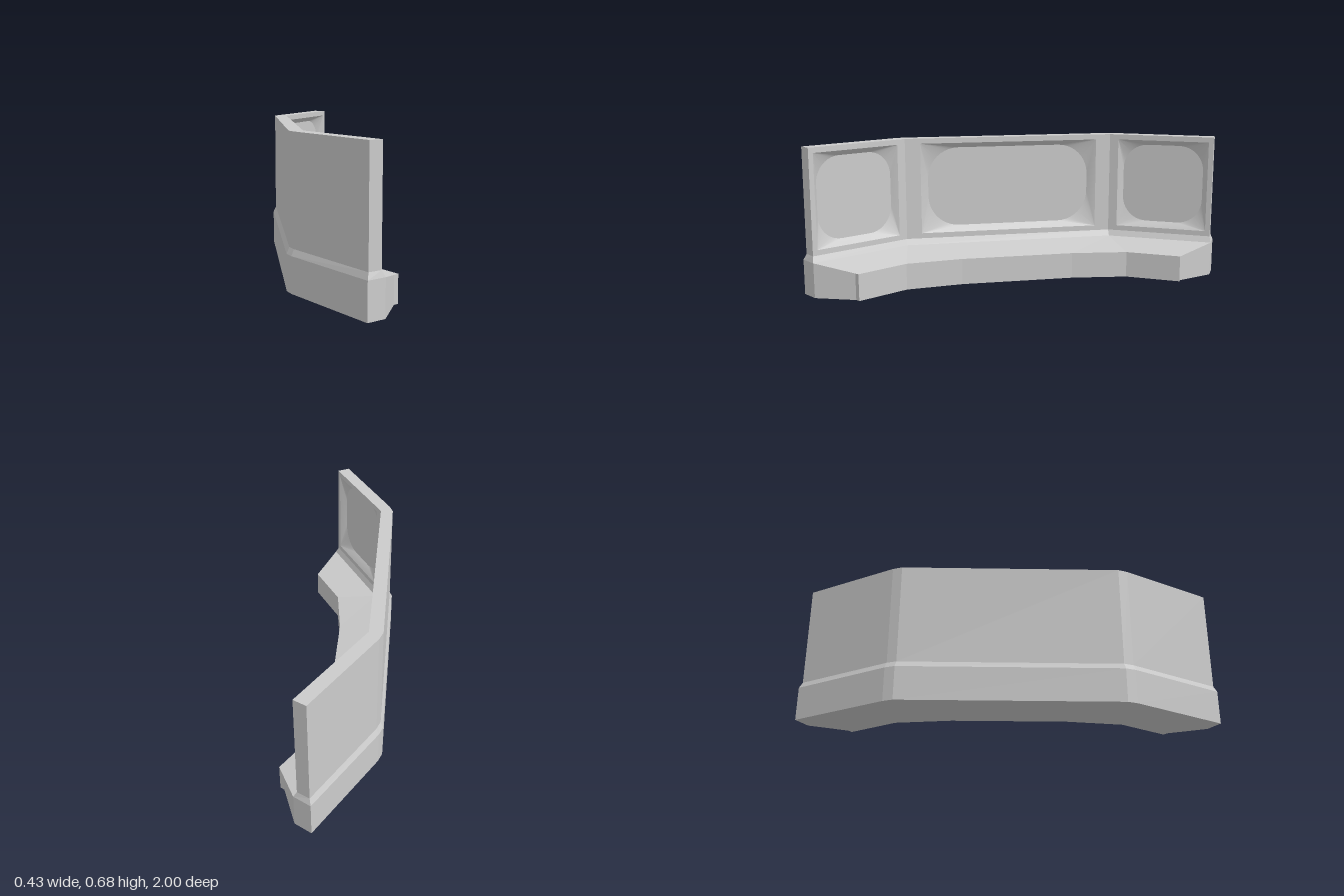
import * as THREE from 'three';
import { toCreasedNormals } from 'three/addons/utils/BufferGeometryUtils.js';

const BASE_TOP = 0.162, WALL_BOTTOM = 0.19, WALL_TOP = 0.68, LEDGE_TOP = 0.124;

// Half plans as [x, z], from the +z end towards the middle
const wallInner = [[0.112, 0.955], [-0.143, 0.513]];
const wallOuter = [[0.057, 0.985], [-0.187, 0.56], [-0.203, 0.515]];
const baseInner = [[0.128, 0.955], [-0.127, 0.513]];
const baseOuter = [[0.052, 1.0], [-0.198, 0.567], [-0.215, 0.52]];
const ledgeEdge = [[0.128, 0.955], [0.196, 0.773], [0.215, 0.76], [0.08, 0.537], [0.045, 0.27]];

const mirror = (pts) => pts.map(([x, z]) => [x, -z]);
// Closed plan: along the inside from +z to -z, then back along the outside
const ring = (inner, outer) => [...inner, ...mirror(inner).reverse(), ...mirror(outer), ...[...outer].reverse()];
const lift = (pts, y) => pts.map(([x, z]) => new THREE.Vector3(x, y, z));

const quad = (out, a, b, c, d) => out.push(a, b, c, a, c, d);

function band(out, low, high, skip = []) {
  low.forEach((p, i) => {
    const j = (i + 1) % low.length;
    if (!skip.includes(i)) quad(out, p, low[j], high[j], high[i]);
  });
}

function cap(out, pts, up) {
  const flat = pts.map((p) => new THREE.Vector2(p.x, -p.z));
  for (const [a, b, c] of THREE.ShapeUtils.triangulateShape(flat, [])) {
    out.push(pts[a], pts[up ? b : c], pts[up ? c : b]);
  }
}

function meshFrom(name, tris, crease) {
  let geo = new THREE.BufferGeometry().setFromPoints(tris);
  if (crease) geo = toCreasedNormals(geo, crease);
  else geo.computeVertexNormals();
  const mesh = new THREE.Mesh(geo, new THREE.MeshStandardMaterial({ color: 0xcccccc }));
  mesh.name = name;
  return mesh;
}

// Inner wall face from a to b with a recess that tapers to a rounded floor
function recessedPanel(name, a, b, startGap, endGap, inset, radius) {
  const group = new THREE.Group();
  group.name = name;
  const start = new THREE.Vector3(a[0], 0, a[1]);
  const u = new THREE.Vector3(b[0] - a[0], 0, b[1] - a[1]);
  const length = u.length();
  u.normalize();
  const n = new THREE.Vector3().crossVectors(u, new THREE.Vector3(0, 1, 0));
  const at = (s, y, depth = 0) => start.clone().addScaledVector(u, s).addScaledVector(n, -depth).setY(y);
  const rect = (s0, s1, y0, y1) => [[s0, y0], [s1, y0], [s1, y1], [s0, y1]];

  // Frame around the recess
  const s0 = startGap, s1 = length - endGap, y0 = WALL_BOTTOM + 0.025, y1 = WALL_TOP - 0.025;
  const outer = rect(0, length, WALL_BOTTOM, WALL_TOP).map(([s, y]) => at(s, y));
  const hole = rect(s0, s1, y0, y1);
  const frame = [];
  band(frame, outer, hole.map(([s, y]) => at(s, y)));
  group.add(meshFrom('panelFrame', frame));

  // Tapered sides and rounded floor
  const depth = 0.03, steps = 10, rim = [], floorRing = [];
  const centres = rect(s0 + inset + radius, s1 - inset - radius, y0 + 0.028 + radius, y1 - 0.025 - radius);
  centres.forEach(([cs, cy], k) => {
    for (let i = 0; i <= steps; i++) {
      const t = Math.PI + (k + i / steps) * Math.PI / 2;
      rim.push(at(...hole[k]));
      floorRing.push(at(cs + radius * Math.cos(t), cy + radius * Math.sin(t), depth));
    }
  });
  const sides = [], floor = [];
  rim.forEach((p, i) => {
    const j = (i + 1) % rim.length;
    if (i % (steps + 1) === steps) quad(sides, p, rim[j], floorRing[j], floorRing[i]);
    else sides.push(p, floorRing[j], floorRing[i]);
  });
  for (let i = 1; i < floorRing.length - 1; i++) floor.push(floorRing[0], floorRing[i], floorRing[i + 1]);
  group.add(meshFrom('recessSides', sides, 0.5), meshFrom('recessFloor', floor));
  return group;
}

export function createModel() {
  const model = new THREE.Group();
  model.name = 'angledBarrier';

  // Plinth with the projecting ledge
  const plan = ring(ledgeEdge, baseOuter);
  const bottom = lift(plan, 0);
  const top = lift(plan, BASE_TOP);
  for (let i = 1; i < 2 * ledgeEdge.length - 1; i++) top[i].y = LEDGE_TOP;
  const plinth = [];
  band(plinth, bottom, top);
  cap(plinth, bottom, false);
  model.add(meshFrom('plinth', plinth));

  // Sloping top of the ledge, one half mirrored to the other
  const [w0, w1] = lift(baseInner, BASE_TOP);
  const [, e1, e2, e3, e4] = lift(ledgeEdge, LEDGE_TOP);
  const flip = (p) => new THREE.Vector3(p.x, p.y, -p.z);
  const half = [w0, e1, e2, w0, e2, e3, w0, e3, w1, w1, e3, e4];
  const ledge = [...half, ...half.map(flip).reverse()];
  quad(ledge, w1, e4, flip(e4), flip(w1));
  model.add(meshFrom('ledgeTop', ledge));

  // Flared shoulder between plinth and wall
  const upper = ring(wallInner, wallOuter);
  const shoulder = [];
  band(shoulder, lift(ring(baseInner, baseOuter), BASE_TOP), lift(upper, WALL_BOTTOM));
  model.add(meshFrom('shoulder', shoulder));

  // Wall back, ends and top; the three inner faces are the panels
  const wall = [];
  band(wall, lift(upper, WALL_BOTTOM), lift(upper, WALL_TOP), [0, 1, 2]);
  cap(wall, lift(upper, WALL_TOP), true);
  model.add(meshFrom('wall', wall));

  model.add(
    recessedPanel('leftPanel', upper[0], upper[1], 0.023, 0.043, 0.025, 0.12),
    recessedPanel('middlePanel', upper[1], upper[2], 0.073, 0.073, 0.038, 0.15),
    recessedPanel('rightPanel', upper[2], upper[3], 0.043, 0.023, 0.025, 0.12),
  );
  return model;
}
